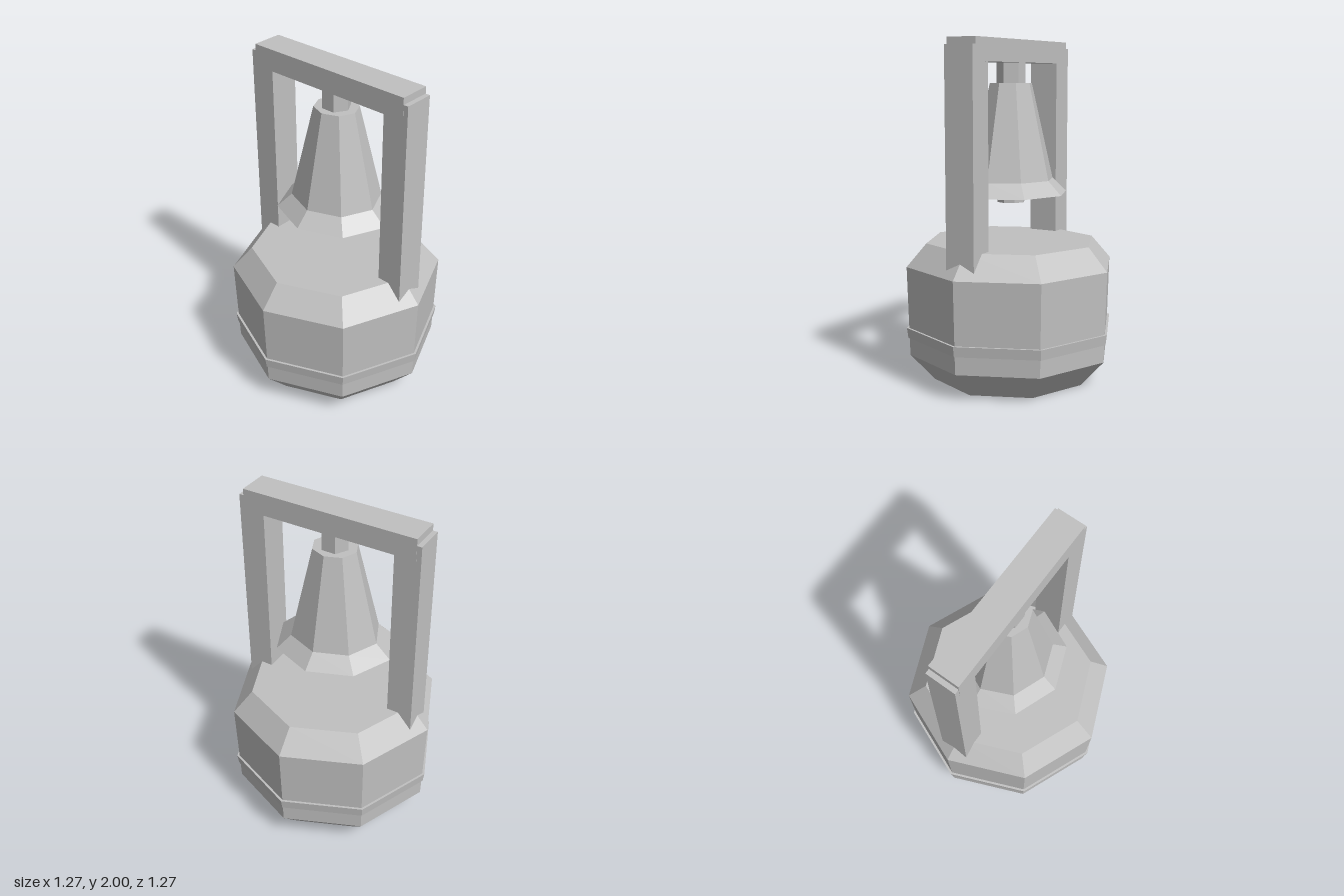
import * as THREE from 'three';

export function createModel() {
  const group = new THREE.Group();
  group.name = 'bellOnPedestal';
  const stone = new THREE.MeshStandardMaterial({ color: 0xc0c0c0, flatShading: true });
  stone.name = 'grey';

  const add = (name, geometry, x = 0, y = 0, z = 0) => {
    const mesh = new THREE.Mesh(geometry, stone);
    mesh.name = name;
    mesh.position.set(x, y, z);
    group.add(mesh);
    return mesh;
  };
  // Faceted solid turned from [radius, height] pairs
  const turned = (profile, sides = 8) =>
    new THREE.LatheGeometry(profile.map(([r, y]) => new THREE.Vector2(r, y)), sides);

  // Octagonal pedestal with chamfered top and bottom
  add('pedestal', turned([[0, 0], [0.47, 0], [0.615, 0.16], [0.63, 0.69], [0.512, 0.825], [0, 0.825]]));
  // Slightly proud band round the pedestal
  add('pedestalBand', turned([[0.6, 0.265], [0.626, 0.265], [0.634, 0.325], [0.6, 0.325]]));

  // Frame: two posts sunk into the chamfer and a crossbeam
  for (const side of [-1, 1]) {
    add(side > 0 ? 'leftPost' : 'rightPost', new THREE.BoxGeometry(0.155, 1.26, 0.18), side * 0.481, 1.33, 0);
  }
  add('crossbeam', new THREE.BoxGeometry(1.06, 0.13, 0.184), 0, 1.935, 0);

  // Hollow flared bell, a little wider across than deep
  const bell = add('bell', turned([
    [0, 1.7], [0.1, 1.7], [0.22, 1.2], [0.265, 1.108], [0.333, 1.108],
    [0.25, 1.19], [0.123, 1.752], [0, 1.752],
  ]));
  bell.scale.x = 1.09;

  // Hanger between beam and bell, and the clapper inside
  add('hanger', new THREE.CylinderGeometry(0.084, 0.084, 0.16, 6).rotateY(Math.PI / 2), 0, 1.81, 0);
  add('clapper', new THREE.CylinderGeometry(0.084, 0.084, 0.66, 8), 0, 1.385, 0);

  return group;
}
